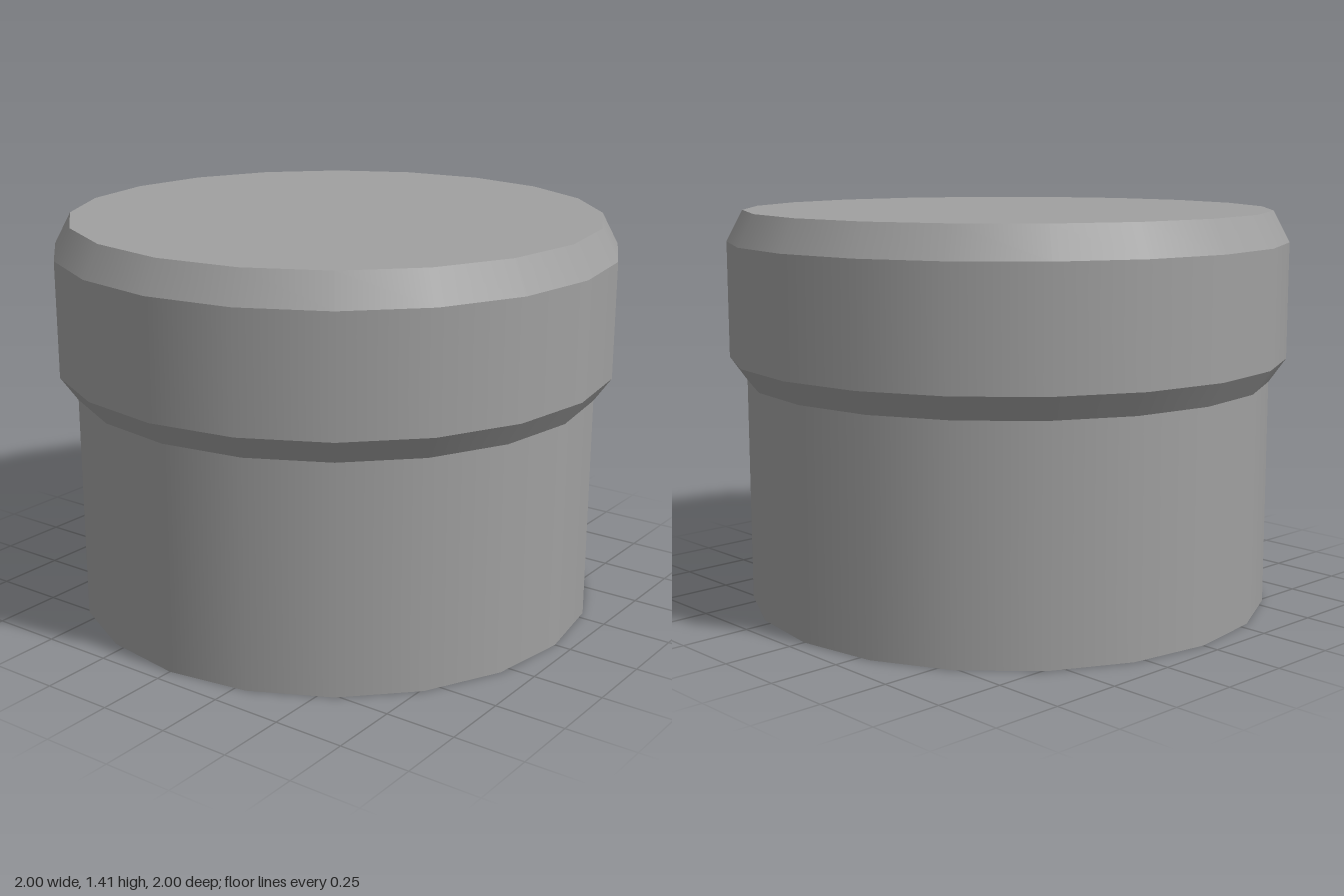
import * as THREE from 'three';

const SIDES = 20;

export function createModel() {
  const model = new THREE.Group();
  const grey = new THREE.MeshStandardMaterial({ color: 0xa0a0a0 });
  grey.name = 'grey';

  // One lathe band per profile segment: smooth around, sharp between bands
  const bands = (name, profile) => {
    const part = new THREE.Group();
    part.name = name;
    for (let i = 0; i < profile.length - 1; i++) {
      const points = [profile[i], profile[i + 1]].map(([r, y]) => new THREE.Vector2(r, y));
      const mesh = new THREE.Mesh(new THREE.LatheGeometry(points, SIDES), grey);
      mesh.name = name + 'Band' + (i + 1);
      part.add(mesh);
    }
    model.add(part);
  };

  // Blind round hole in the underside
  bands('socket', [[0, 0.8], [0.34, 0.8], [0.34, 0]]);
  // Underside ring and straight lower wall
  bands('base', [[0.34, 0], [0.94, 0], [0.94, 0.805]]);
  // Wider head with bevels below and above, closed by a flat top
  bands('head', [[0.94, 0.805], [1, 0.89], [1, 1.3], [0.942, 1.41], [0, 1.41]]);

  return model;
}
